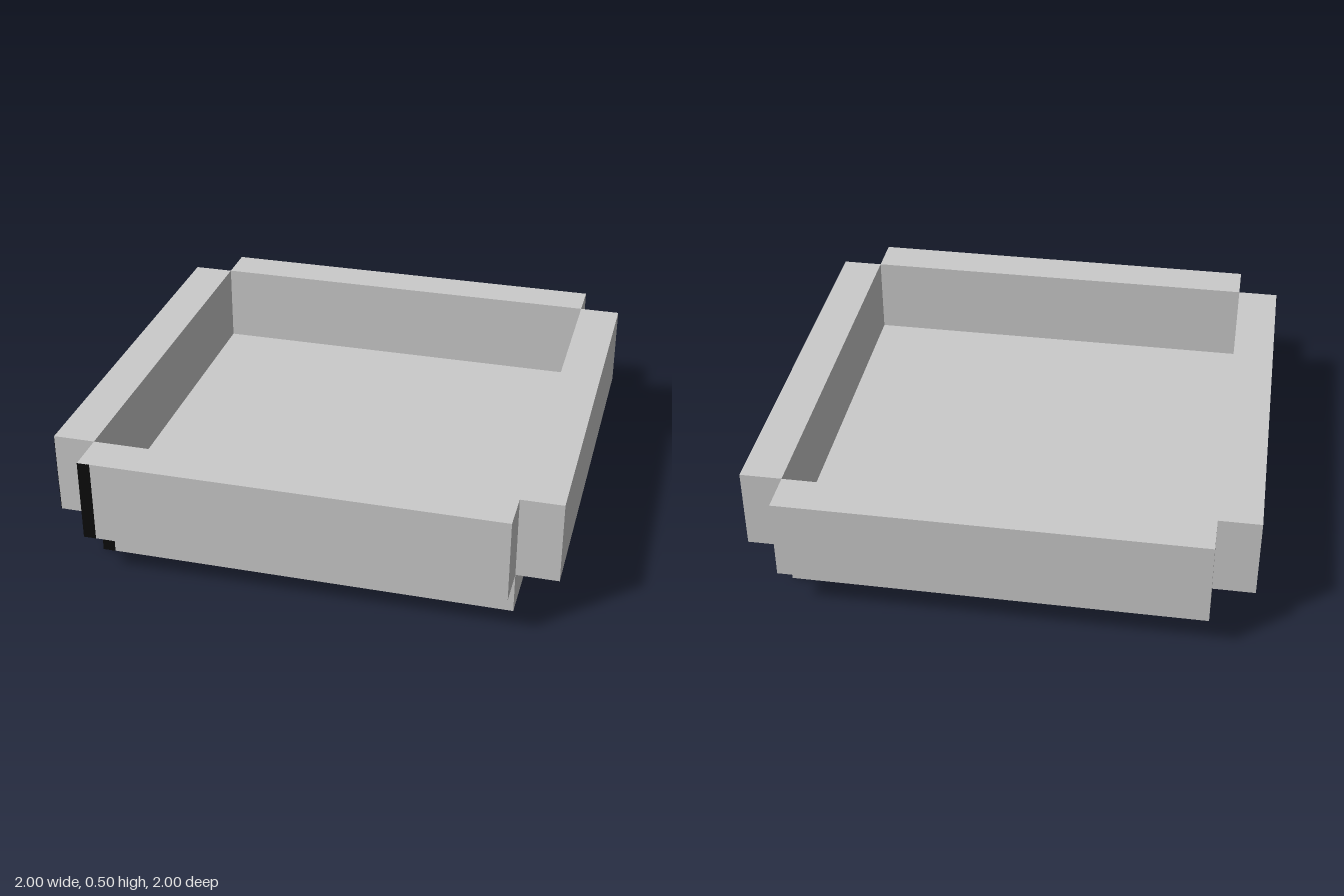
import * as THREE from 'three';

const IN = 0.833;    // half width of the base, inner edge of the walls
const WALL = 0.167;  // wall and base thickness
const TOP = 0.5;
const STRIPE = 0.05;

export function createModel() {
  const grey = new THREE.MeshStandardMaterial({ color: 0xcacaca });
  grey.name = 'light grey';
  const black = new THREE.MeshStandardMaterial({ color: 0x0c0c0c });
  black.name = 'black';

  const model = new THREE.Group();
  model.name = 'tray';

  function box(name, material, [w, h, d], [x, y, z]) {
    const mesh = new THREE.Mesh(new THREE.BoxGeometry(w, h, d), material);
    mesh.name = name;
    mesh.position.set(x, y, z);
    model.add(mesh);
  }

  // Floor slab
  box('base', grey, [2 * IN, WALL, 2 * IN], [0, WALL / 2, 0]);

  // Four walls standing outside the slab's edges, leaving open corner notches
  const height = TOP - WALL;
  const mid = (TOP + WALL) / 2;
  const out = IN + WALL / 2;
  for (const s of [1, -1]) {
    box(s > 0 ? 'frontWall' : 'backWall', grey, [2 * IN, height, WALL], [0, mid, s * out]);
    box(s > 0 ? 'leftWall' : 'rightWall', grey, [WALL, height, 2 * IN], [s * out, mid, 0]);
  }

  // Black edge stripes on the front and right faces, at their shared corner
  const thin = 0.002;
  const along = IN - STRIPE / 2;
  const rows = [['Wall', height, mid, 1], ['Base', WALL, WALL / 2, IN]];
  for (const [part, h, y, face] of rows) {
    box('front' + part + 'Stripe', black, [STRIPE, h, thin], [-along, y, face]);
    box('right' + part + 'Stripe', black, [thin, h, STRIPE], [-face, y, along]);
  }

  return model;
}
